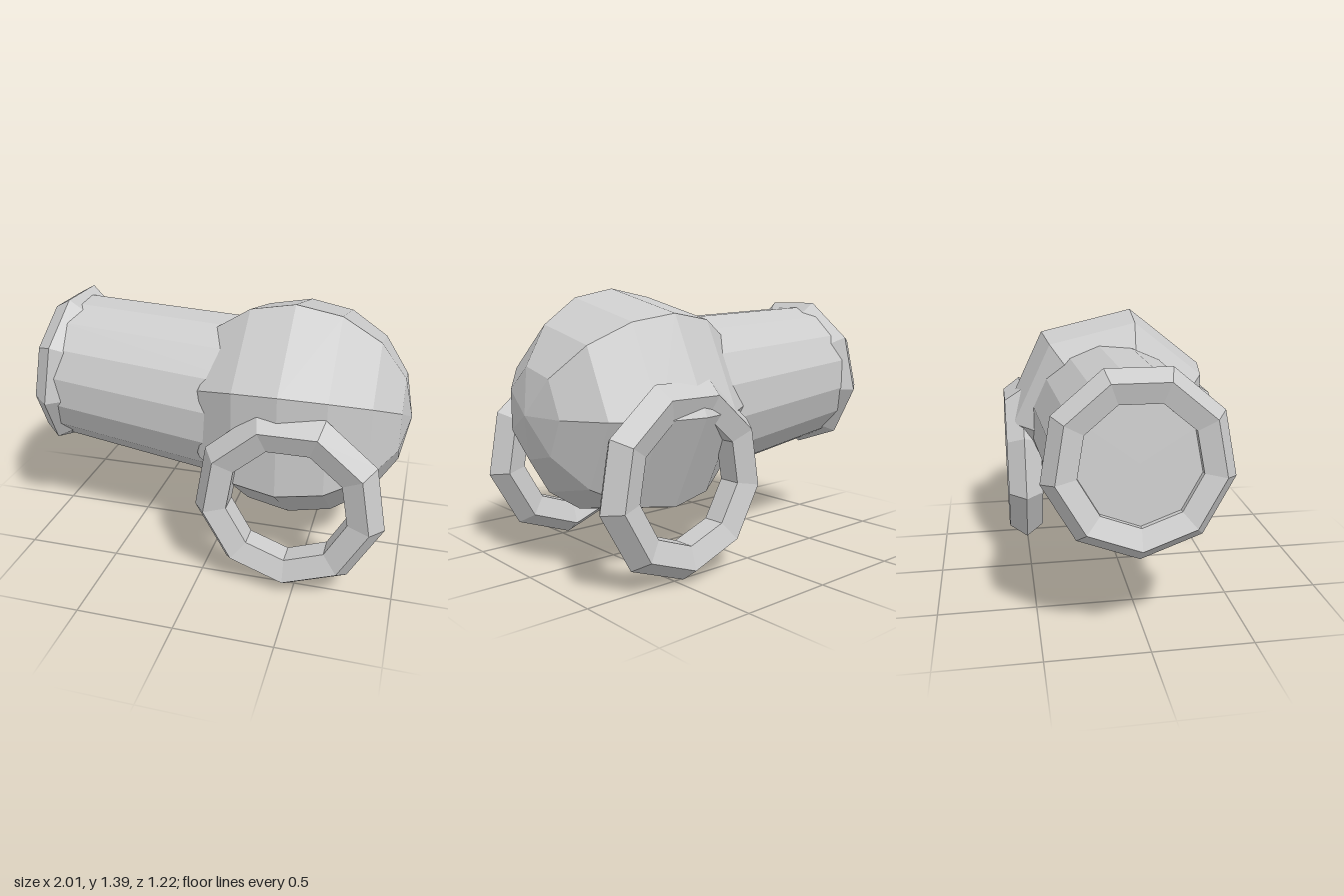
import * as THREE from 'three';

const material = new THREE.MeshStandardMaterial({ color: 0xcccccc, flatShading: true });

function part(name, geometry, parent) {
  const mesh = new THREE.Mesh(geometry, material);
  mesh.name = name;
  parent.add(mesh);
  return mesh;
}

// Nine-sided ring with a five-sided tube, one corner pointing down
function ring(radius, tube) {
  return new THREE.TorusGeometry(radius, tube, 5, 9).rotateZ(-Math.PI / 2);
}

export function createModel() {
  const cannon = new THREE.Group();
  cannon.name = 'cannon';

  // Faceted breech ball, poles along x
  const ball = new THREE.SphereGeometry(0.61, 7, 8).rotateZ(-Math.PI / 2).rotateX(-Math.PI / 2);
  part('breech', ball, cannon).position.set(0.39, 0.8, 0);

  // Slightly raised barrel group; its origin is the muzzle, +x runs into the breech
  const gun = new THREE.Group();
  gun.name = 'barrelAssembly';
  gun.position.set(-0.885, 0.892, -0.043);
  gun.rotation.set(0, -0.02, -0.092);
  cannon.add(gun);

  const length = 1.25;
  const tube = new THREE.CylinderGeometry(0.4, 0.455, length, 16)
    .rotateY(0.15)
    .rotateZ(Math.PI / 2)
    .translate(length / 2 - 0.02, 0, 0);
  part('barrel', tube, gun);
  part('muzzleRim', ring(0.36, 0.09).rotateY(Math.PI / 2), gun);

  // Ring wheels on both sides
  for (const side of [1, -1]) {
    const wheel = part(side > 0 ? 'frontWheel' : 'backWheel', ring(0.39, 0.1), cannon);
    wheel.position.set(0.453, 0.497, side * 0.512);
    wheel.scale.y = 1.012;
  }

  return cannon;
}
